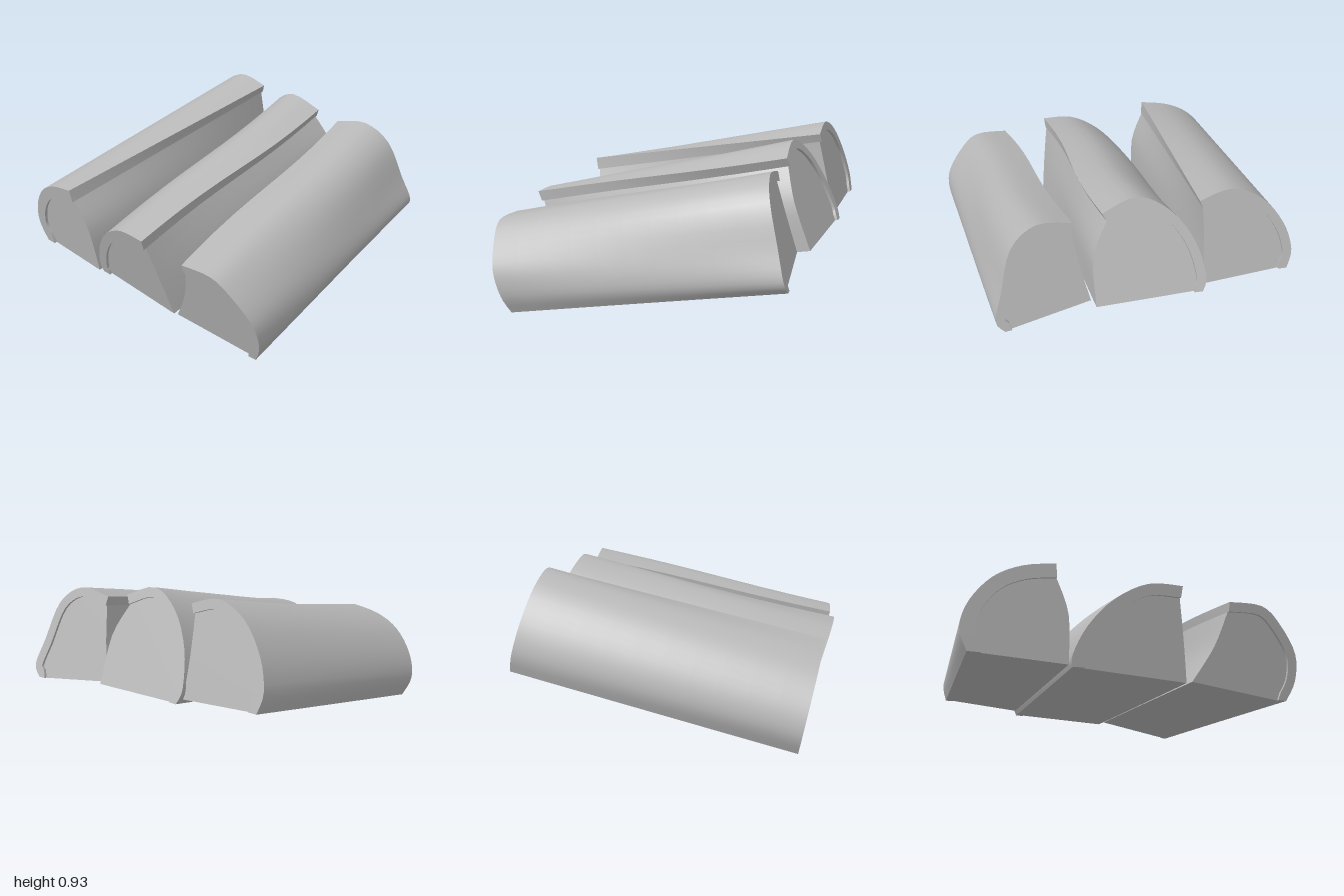
import * as THREE from 'three';
import { toCreasedNormals } from 'three/addons/utils/BufferGeometryUtils.js';

const smooth = (pts, n) => new THREE.SplineCurve(pts).getPoints(n);
// Points from a flat x, y list
const points = (...v) => v.flatMap((x, i) => (i % 2 ? [] : [new THREE.Vector2(x, v[i + 1])]));
// Slanted end plane: z = a + b x + c y
const plane = (a, b, c) => new THREE.Vector3(a, b, c);

// One end of a tile: cover arch from foot to lip, its inner side by offset,
// and the open side of the filling from the lip down to the base.
function makeEnd(slant, arch, side, thickness) {
  const outer = smooth(arch, 20);
  const inward = Math.sign(arch.at(-1).x - arch[0].x);
  const inner = outer.map((p, i) => {
    const d = outer[Math.min(i + 1, 20)].clone().sub(outer[Math.max(i - 1, 0)]).normalize();
    return new THREE.Vector2(p.x + d.y * thickness * inward, p.y - d.x * thickness * inward);
  });
  // Foot ends level, so the underside is flat
  inner[0].y = outer[0].y;
  const open = smooth([inner.at(-1), ...side], 8);
  return {
    slant,
    cover: [...outer, ...inner.slice().reverse()],
    filling: [...inner, ...open.slice(1)],
  };
}

// Closed loft of one part between the two ends of a tile
function loft(frontEnd, backEnd, part, t0, t1, wave) {
  let front = frontEnd[part], back = backEnd[part];
  if (THREE.ShapeUtils.area(front) < 0) {
    front = front.slice().reverse();
    back = back.slice().reverse();
  }
  const steps = 10, n = front.length, pos = [], idx = [];
  for (let s = 0; s <= steps; s++) {
    const t = t0 + (t1 - t0) * s / steps;
    const slant = frontEnd.slant.clone().lerp(backEnd.slant, t);
    front.forEach((f, i) => {
      const p = f.clone().lerp(back[i], t);
      // Upper parts sway gently sideways along the length
      p.x += wave * Math.max(0, f.y - 0.1) * 2 * Math.sin(Math.PI * 2 * t);
      pos.push(p.x, p.y, slant.x + slant.y * p.x + slant.z * p.y);
    });
  }
  for (let s = 0; s < steps; s++) {
    for (let i = 0; i < n; i++) {
      const a = s * n + i, b = s * n + (i + 1) % n;
      idx.push(a, a + n, b, b, a + n, b + n);
    }
  }
  // End caps
  const o = steps * n;
  for (const [a, b, c] of THREE.ShapeUtils.triangulateShape(front, [])) idx.push(a, b, c);
  for (const [a, b, c] of THREE.ShapeUtils.triangulateShape(back, [])) idx.push(o + a, o + c, o + b);
  const g = new THREE.BufferGeometry();
  g.setAttribute('position', new THREE.Float32BufferAttribute(pos, 3));
  g.setIndex(idx);
  return toCreasedNormals(g, 0.6);
}

function makeTile(name, front, back, wave, material) {
  const group = new THREE.Group();
  group.name = name;
  const add = (part, t0, t1) => {
    const mesh = new THREE.Mesh(loft(front, back, part, t0, t1, wave), material);
    mesh.name = part;
    group.add(mesh);
  };
  add('cover', 0, 1);
  // Filling sits slightly inside both ends of the cover
  add('filling', 0.01, 0.99);
  return group;
}

export function createModel() {
  const model = new THREE.Group();
  model.name = 'roofTiles';
  const clay = new THREE.MeshStandardMaterial({ color: 0xb8b8b8 });
  clay.name = 'plain grey';

  // Right-hand tile, open on its +x side
  model.add(makeTile('rightTile',
    makeEnd(plane(0.768, 0.277, 0.194),
      points(-0.95, 0.08, -1, 0.2, -0.97, 0.34, -0.87, 0.475, -0.73, 0.55, -0.565, 0.58),
      points(-0.475, 0.32, -0.45, 0.06), 0.075),
    makeEnd(plane(-0.957, 0.245, 0.245),
      points(-0.57, 0.43, -0.6, 0.54, -0.56, 0.7, -0.45, 0.855, -0.29, 0.93, -0.12, 0.885),
      points(-0.13, 0.62, -0.11, 0.4), 0.05), 0, clay));

  // Middle tile, open on the same side
  model.add(makeTile('middleTile',
    makeEnd(plane(0.732, 0.282, 0.324),
      points(-0.42, 0.06, -0.43, 0.12, -0.375, 0.27, -0.26, 0.415, -0.1, 0.508, 0.08, 0.515),
      points(0.125, 0.25, 0.17, 0.03), 0.06),
    makeEnd(plane(-1.036, 0.28, 0.4),
      points(-0.09, 0.38, -0.12, 0.46, -0.09, 0.65, 0.01, 0.82, 0.17, 0.91, 0.36, 0.845),
      points(0.44, 0.62, 0.47, 0.36), 0.05), -0.02, clay));

  // Left-hand tile, open on its -x side
  model.add(makeTile('leftTile',
    makeEnd(plane(0.749, 0.177, 0.313),
      points(0.74, 0, 0.78, 0.11, 0.765, 0.25, 0.66, 0.39, 0.54, 0.475, 0.35, 0.47),
      points(0.3, 0.23, 0.2, 0.04), 0.05),
    makeEnd(plane(-0.838, 0.112, 0.274),
      points(0.95, 0.3, 0.99, 0.37, 0.935, 0.52, 0.85, 0.74, 0.7, 0.84, 0.51, 0.81),
      points(0.505, 0.57, 0.47, 0.35), 0.05), -0.02, clay));

  return model;
}
